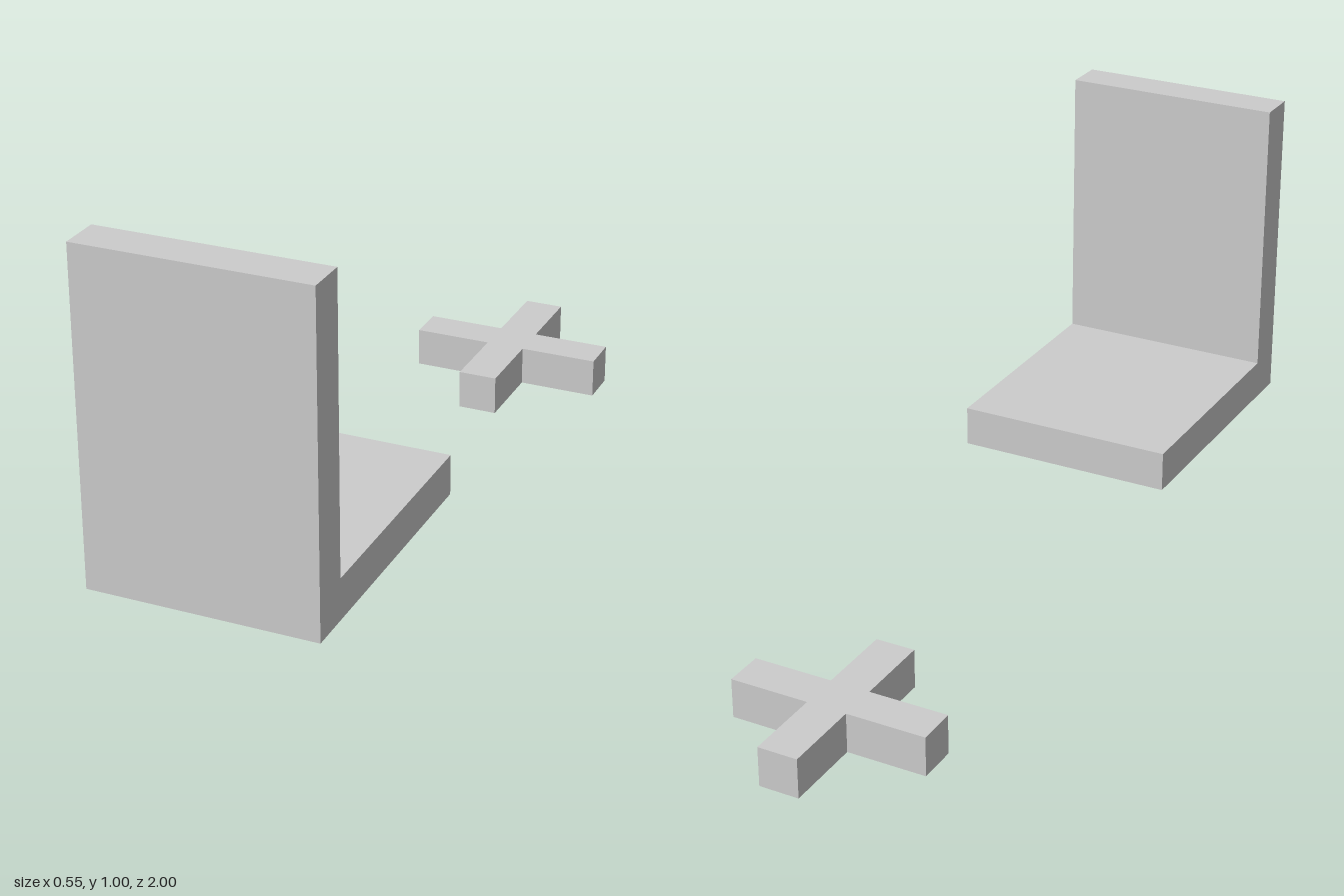
import * as THREE from 'three';

const material = new THREE.MeshStandardMaterial({ color: 0xcccccc, flatShading: true });

// Straight prism from an outline of [x, y] corners
function prism(points, depth) {
  const shape = new THREE.Shape(points.map(([x, y]) => new THREE.Vector2(x, y)));
  return new THREE.ExtrudeGeometry(shape, { depth, bevelEnabled: false });
}

function addPart(group, name, geometry) {
  const mesh = new THREE.Mesh(geometry, material);
  mesh.name = name;
  group.add(mesh);
  return mesh;
}

export function createModel() {
  const model = new THREE.Group();
  model.name = 'seatAndBase';

  // Seat with upright back: L profile drawn in (z, y), extruded across x
  const width = 0.55;
  const profile = [[0.3, 0.2], [1, 0.2], [1, 1], [0.9, 1], [0.9, 0.3], [0.3, 0.3]];
  const seat = prism(profile, width).rotateY(-Math.PI / 2).translate(width / 2, 0, 0);
  addPart(model, 'seatWithBack', seat);

  // Cross-shaped base: one arm's corners turned through four quarters
  const reach = 0.25, half = 0.05;
  const outline = [];
  for (let i = 0; i < 4; i++) {
    const c = [1, 0, -1, 0][i], s = [0, 1, 0, -1][i];
    for (const [x, y] of [[reach, -half], [reach, half], [half, half]]) {
      outline.push([x * c - y * s, x * s + y * c]);
    }
  }
  const base = addPart(model, 'crossBase', prism(outline, 0.1).rotateX(-Math.PI / 2));
  base.position.set(0.025, 0, -0.75);

  return model;
}
